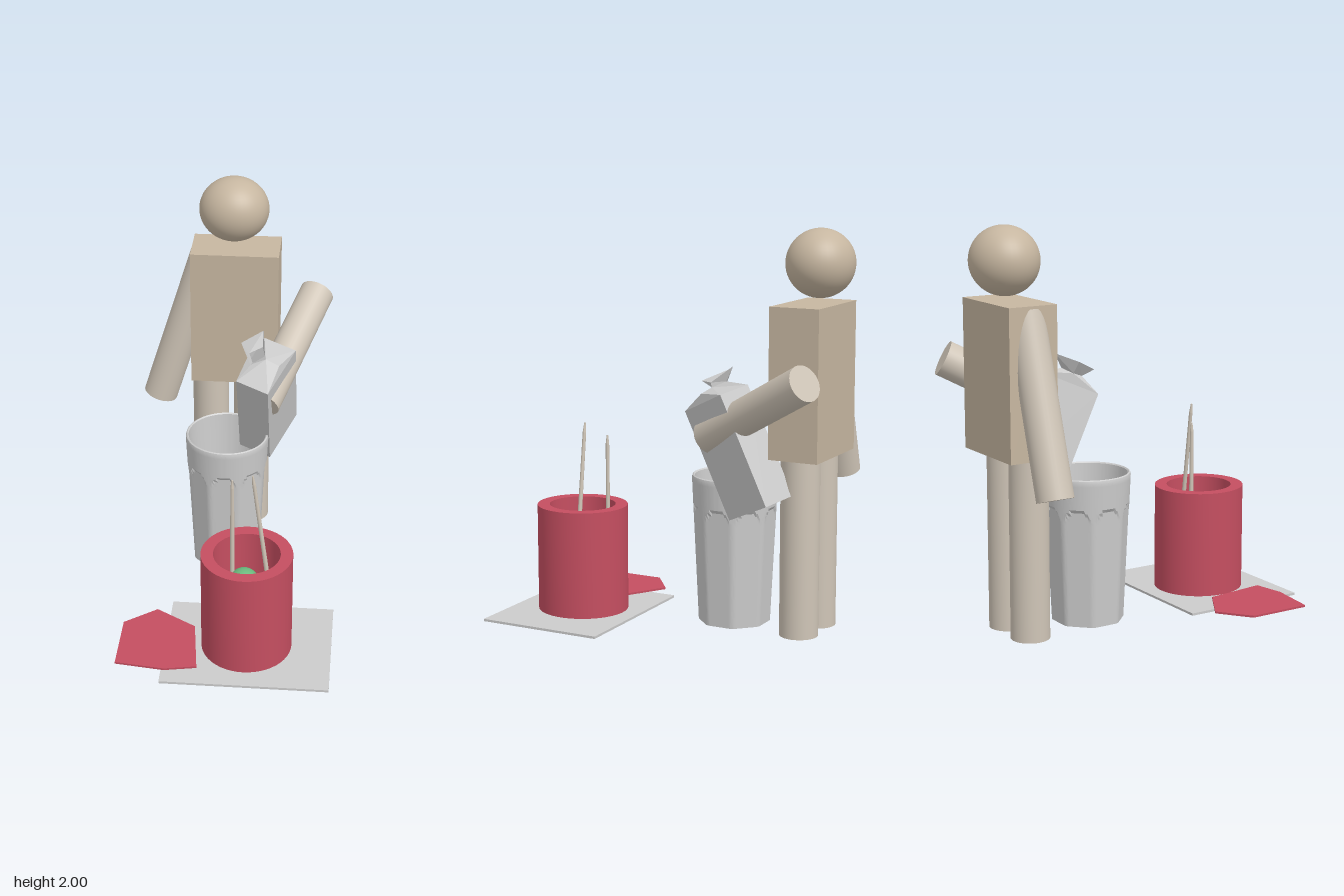
import * as THREE from 'three';
import { toCreasedNormals } from 'three/addons/utils/BufferGeometryUtils.js';

const mat = (color, opts = {}) => new THREE.MeshStandardMaterial({ color, ...opts });
const grey = mat(0xcccccc);
const greyThin = mat(0xcccccc, { side: THREE.DoubleSide, flatShading: true });
const skin = mat(0xc6b6a0);
const limb = mat(0xcfc5b7);
const red = mat(0xc44e60);
const green = mat(0x6cba7e);
const V = (x, y, z) => new THREE.Vector3(x, y, z);

function add(parent, name, geometry, material, x = 0, y = 0, z = 0) {
  const mesh = new THREE.Mesh(geometry, material);
  mesh.name = name;
  mesh.position.set(x, y, z);
  parent.add(mesh);
  return mesh;
}

// Cylinder running from point a to point b
function rod(parent, name, a, b, ra, rb, material, sides = 32) {
  const dir = b.clone().sub(a);
  const mesh = add(parent, name, new THREE.CylinderGeometry(rb, ra, dir.length(), sides), material);
  mesh.position.copy(a).add(b).multiplyScalar(0.5);
  mesh.quaternion.setFromUnitVectors(V(0, 1, 0), dir.normalize());
  return mesh;
}

function lathe(points, segments) {
  return new THREE.LatheGeometry(points.map(p => new THREE.Vector2(...p)), segments);
}

function buildFigure() {
  const g = new THREE.Group();
  g.name = 'figure';
  add(g, 'head', new THREE.SphereGeometry(0.167, 40, 28), skin, -0.055, 1.833, -0.703).scale.x = 1.075;
  add(g, 'torso', new THREE.BoxGeometry(0.455, 0.735, 0.255), skin, -0.0425, 1.2725, -0.6725);
  for (const x of [-0.175, 0.042]) {
    rod(g, 'leg', V(x, 0.015, -0.653), V(x, 0.92, -0.653), 0.096, 0.096, limb);
  }
  rod(g, 'rightArm', V(-0.45, 0.757, -0.668), V(-0.187, 1.6, -0.668), 0.09, 0.09, limb);
  rod(g, 'leftArm', V(0.13, 0.98, -0.2), V(0.375, 1.32, -0.815), 0.09, 0.09, limb);
  return g;
}

// Tumbler: a lathe whose outer wall is cut by eight flat, arch-topped flutes
function buildGlass() {
  const outer = y => 0.18 + (y - 0.015) * 0.0476;
  const profile = [[0, 0.015]];
  for (let i = 0; i <= 44; i++) {
    const y = 0.015 + (0.735 * i) / 44;
    profile.push([outer(y), y]);
  }
  profile.push([0.212, 0.762], [0.206, 0.766], [0.2, 0.76], [0.155, 0.07], [0, 0.07]);
  const geo = lathe(profile, 160);
  const pos = geo.attributes.position;
  const step = Math.PI / 4, half = 0.34, archBase = 0.52, archTop = 0.61;
  for (let i = 0; i < pos.count; i++) {
    const x = pos.getX(i), y = pos.getY(i), z = pos.getZ(i);
    const r = Math.hypot(x, z);
    if (y > archTop || r < outer(y) - 0.005) continue;
    const a = Math.atan2(x, z);
    const off = Math.abs(a - Math.round(a / step) * step);
    const t = Math.max(0, (y - archBase) / (archTop - archBase));
    if (off < half * Math.sqrt(1 - t * t)) {
      const k = Math.cos(half) / Math.cos(off);
      pos.setX(i, x * k);
      pos.setZ(i, z * k);
    }
  }
  const mesh = new THREE.Mesh(toCreasedNormals(geo, 0.3), grey);
  mesh.name = 'flutedGlass';
  mesh.position.set(-0.055, 0, -0.255);
  return mesh;
}

// Tilted carton with a gable roof and an open, flared spout on its right
function buildCarton() {
  const w = 0.09, d = 0.1535, h = 0.2875;
  const p = {
    a: [-w, -h, d], b: [w, -h, d], c: [w, -h, -d], e: [-w, -h, -d],
    A: [-w, h, d], B: [w, h, d], C: [w, h, -d], E: [-w, h, -d],
    R: [0.075, h + 0.045, 0], M: [0, h + 0.056, 0],
    W: [-0.05, h + 0.056, 0.05], X: [-0.095, h + 0.05, 0], Y: [-0.05, h + 0.056, -0.06],
    N: [-0.005, h + 0.08, 0], F: [-0.035, h + 0.11, 0.1],
    T: [-0.14, h + 0.11, 0], G: [-0.075, h + 0.11, -0.12],
  };
  const faces = [
    'ecba', 'abBA', 'bcCB', 'ceEC', 'eaAE', // body
    'MWABR', 'MRCEY', 'BCR', 'XYEAW',       // roof
    'MNFW', 'WFTX', 'XTGY', 'YGNM',         // spout
  ];
  const out = [];
  for (const f of faces) {
    for (let i = 1; i < f.length - 1; i++) out.push(...p[f[0]], ...p[f[i]], ...p[f[i + 1]]);
  }
  const geo = new THREE.BufferGeometry();
  geo.setAttribute('position', new THREE.Float32BufferAttribute(out, 3));
  geo.computeVertexNormals();
  const mesh = new THREE.Mesh(geo, greyThin);
  mesh.name = 'openCarton';
  mesh.position.set(0.145, 0.915, -0.37);
  mesh.rotation.set(0.437, -0.42, 0);
  return mesh;
}

function buildNoodleCup() {
  const g = new THREE.Group();
  g.name = 'noodleCup';
  g.position.set(0.11, 0, 0.533);
  const wall = lathe([[0, 0.015], [0.226, 0.015], [0.226, 0.562], [0.165, 0.562], [0.165, 0.15], [0, 0.15]], 48);
  add(g, 'cup', toCreasedNormals(wall, 0.6), red).scale.z = 1.03;
  // Two crossed layers of noodles
  for (let i = 0; i < 7; i++) {
    const o = -0.12 + i * 0.04;
    const len = 2 * Math.sqrt(0.16 * 0.16 - o * o);
    rod(g, 'noodle', V(-len / 2, 0.3, o), V(len / 2, 0.3, o), 0.016, 0.016, red, 12);
    rod(g, 'noodle', V(o, 0.27, -len / 2), V(o, 0.27, len / 2), 0.016, 0.016, red, 12);
  }
  // Green garnish
  for (const [x, z, y] of [[-0.02, -0.08, 0.33], [0.015, 0.07, 0.35]]) {
    add(g, 'garnish', new THREE.SphereGeometry(0.077, 24, 16), green, x, y, z);
  }
  // Chopsticks with a short tapered end
  const sticks = [
    [V(0.03, 0.3, 0.43), V(0.03, 0.915, 0.43)],
    [V(0.224, 0.3, 0.5), V(0.134, 0.99, 0.5)],
  ];
  for (const [a, b] of sticks) {
    a.sub(g.position);
    b.sub(g.position);
    const neck = a.clone().lerp(b, 0.93);
    rod(g, 'chopstick', a, neck, 0.012, 0.009, limb, 12);
    rod(g, 'chopstickTip', neck, b, 0.009, 0.004, limb, 12);
  }
  return g;
}

export function createModel() {
  const model = new THREE.Group();
  model.name = 'mealScene';
  model.add(buildFigure(), buildGlass(), buildCarton(), buildNoodleCup());

  add(model, 'placemat', new THREE.BoxGeometry(0.83, 0.012, 0.65), grey, 0.12, 0.008, 0.5425);

  // Flat peeled lid beside the cup
  const outline = [[-0.365, 0.308], [-0.16, 0.435], [-0.12, 0.755], [-0.28, 0.785], [-0.525, 0.755], [-0.525, 0.43]];
  const shape = new THREE.Shape(outline.map(([x, z]) => new THREE.Vector2(x, -z)));
  const lid = new THREE.ExtrudeGeometry(shape, { depth: 0.01, bevelEnabled: false });
  lid.rotateX(-Math.PI / 2);
  add(model, 'peeledLid', lid, red, 0, 0.018, 0);
  return model;
}
